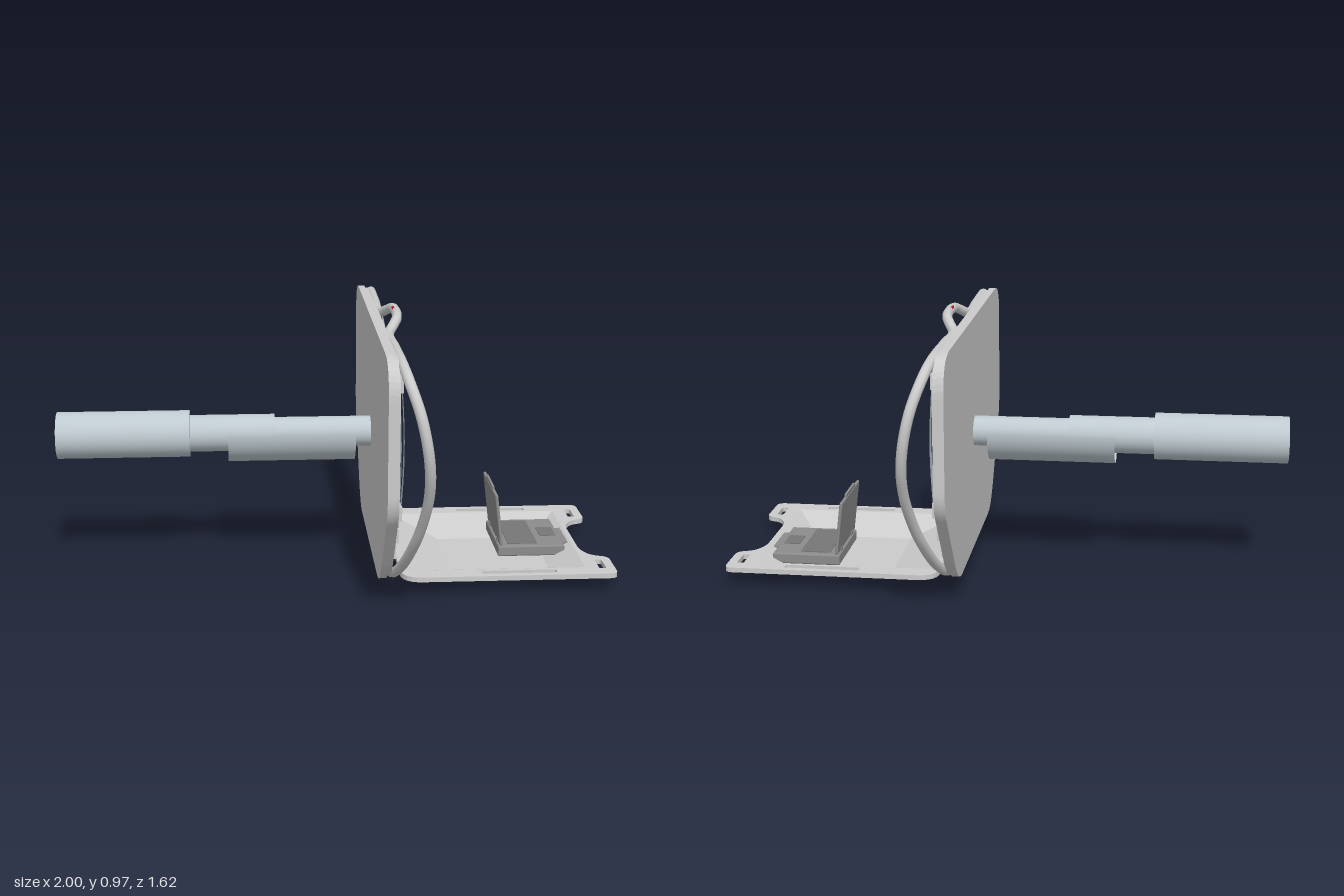
import * as THREE from 'three';
import { mergeGeometries } from 'three/addons/utils/BufferGeometryUtils.js';
import { RoundedBoxGeometry } from 'three/addons/geometries/RoundedBoxGeometry.js';

const mat = (color = 0xcccccc, side = THREE.FrontSide) => new THREE.MeshStandardMaterial({ color, side });
const grey = mat();
const greyThin = mat(0xcccccc, THREE.DoubleSide);
const steel = mat(0xbfcad0);
const strapMat = mat(0xb9c4ca, THREE.DoubleSide);
const black = mat(0x222222);

function add(parent, name, geometry, material = grey, x = 0, y = 0, z = 0) {
  const mesh = new THREE.Mesh(geometry, material);
  mesh.name = name;
  mesh.position.set(x, y, z);
  parent.add(mesh);
  return mesh;
}
const box = (w, h, d) => new THREE.BoxGeometry(w, h, d);

// Strip of quads between pairs of points
function ribbon(pairs) {
  const pos = [], idx = [];
  pairs.forEach(([a, b], i) => {
    pos.push(...a, ...b);
    const n = 2 * i;
    if (i) idx.push(n - 2, n, n - 1, n - 1, n, n + 1);
  });
  const g = new THREE.BufferGeometry();
  g.setAttribute('position', new THREE.Float32BufferAttribute(pos, 3));
  g.setIndex(idx);
  g.computeVertexNormals();
  return g;
}

// Polygon with rounded corners; points are [x, y, radius]
function roundedShape(points, Type = THREE.Shape) {
  const s = new Type();
  points.forEach(([x, y, r = 0], i) => {
    const p = new THREE.Vector2(x, y);
    const toward = (q) => new THREE.Vector2(q[0], q[1]).sub(p).setLength(r).add(p);
    const a = toward(points.at(i - 1)), b = toward(points[(i + 1) % points.length]);
    if (i) s.lineTo(a.x, a.y); else s.moveTo(a.x, a.y);
    s.quadraticCurveTo(x, y, b.x, b.y);
  });
  s.closePath();
  return s;
}
const rect = (x0, x1, y0, y1, r) =>
  roundedShape([[x0, y0, r], [x1, y0, r], [x1, y1, r], [x0, y1, r]], THREE.Path);
const mirrored = (half) => [...half, ...half.map(([x, y, r]) => [-x, y, r]).reverse()];

function makePost() {
  const g = new THREE.Group();
  g.name = 'post';
  const tube = (name, x0, x1, r) =>
    add(g, name, new THREE.CylinderGeometry(r, r, x1 - x0, 40).rotateZ(Math.PI / 2), steel, (x0 + x1) / 2, 0.505);
  tube('outerTube', -1, -0.52, 0.085);
  tube('middleTube', -0.52, -0.21, 0.067);
  tube('innerTube', -0.21, 0.142, 0.055);
  // Half-round cradle open at the top
  add(g, 'cradle', new THREE.CylinderGeometry(0.125, 0.125, 0.46, 32, 1, true, Math.PI, Math.PI).rotateZ(Math.PI / 2),
    mat(0xbfcad0, THREE.DoubleSide), -0.15, 0.527);
  return g;
}

function makePanel() {
  const g = new THREE.Group();
  g.name = 'panel';
  const plate = (name, k, x, depth) => {
    const half = [[0.4, 0.07, 0.06], [0.48, 0.13, 0.05], [0.71, 0.42, 0.06], [0.71, 0.93, 0.13]]
      .map(([z, y, r]) => [z * k, 0.5 + (y - 0.5) * k, r]);
    const geo = new THREE.ExtrudeGeometry(roundedShape(mirrored(half)), { depth, bevelEnabled: false, curveSegments: 10 });
    add(g, name, geo.rotateY(Math.PI / 2), grey, x);
  };
  plate('backPlate', 1, 0.14, 0.025);
  plate('frontPlate', 0.985, 0.165, 0.015);

  // Rim bowing forward at both sides, with a carrying handle on top
  const half = [[0.225, 0.945, 0.09], [0.21, 0.93, 0.13], [0.19, 0.91, 0.175], [0.188, 0.91, 0.4], [0.192, 0.905, 0.62],
    [0.205, 0.87, 0.72], [0.235, 0.78, 0.78], [0.257, 0.68, 0.793], [0.27, 0.58, 0.775], [0.272, 0.48, 0.73],
    [0.26, 0.37, 0.665], [0.24, 0.27, 0.595], [0.21, 0.15, 0.475], [0.188, 0.09, 0.37], [0.18, 0.075, 0.2]];
  const all = [...half, ...half.map(([x, y, z]) => [x, y, -z]).reverse()].map((p) => new THREE.Vector3(...p));
  const curve = new THREE.CatmullRomCurve3(all, true, 'centripetal');
  add(g, 'rim', new THREE.TubeGeometry(curve, 240, 0.018, 10, true));
  add(g, 'handleMark', box(0.012, 0.01, 0.035), mat(0xcc1133), 0.222, 0.961);

  for (const s of [1, -1]) {
    // Dark padding along the inside of the rim
    const pad = half.slice(5, 11).map(([x, y, z]) => new THREE.Vector3(x, y, s * (z - 0.014)));
    add(g, 'rimPadding', new THREE.TubeGeometry(new THREE.CatmullRomCurve3(pad), 40, 0.012, 8), black);
    // Three straps with buckles, shorter toward the edge
    [[0.605, 0.37], [0.515, 0.26], [0.425, 0.17]].forEach(([z, y0]) => {
      const y1 = 0.86, rows = [];
      for (let i = 0; i <= 16; i++) {
        const t = i / 16, x = 0.19 + 0.012 * Math.sin(Math.PI * t), y = y0 + (y1 - y0) * t;
        rows.push([[x, y, s * z - 0.02], [x, y, s * z + 0.02]]);
      }
      add(g, 'strap', ribbon(rows), strapMat);
      for (const y of [y0 + 0.025, y1 - 0.025]) {
        for (const e of [-1, 1]) {
          add(g, 'buckleSide', box(0.016, 0.05, 0.007), grey, 0.188, y, s * z + e * 0.023);
          add(g, 'buckleBar', box(0.016, 0.007, 0.05), grey, 0.188, y + e * 0.022, s * z);
        }
      }
    });
  }
  return g;
}

// Diagonal bands passing over and under each other
function makeLattice() {
  const g = new THREE.Group();
  g.name = 'lattice';
  const p = 0.068, w = 0.28, y0 = 0.09, y1 = 0.895, hw = 0.02;
  for (const [s, color] of [[1, 0x6d9dbd], [-1, 0x6a9c8c]]) {
    const bands = [];
    for (let i = -4; i <= 18; i++) {
      const c = i * p;
      const ends = [(y0 - hw - c) / s, (y1 + hw - c) / s].sort((a, b) => a - b);
      const z0 = Math.max(-w, ends[0]), z1 = Math.min(w, ends[1]);
      if (z1 - z0 < 0.01) continue;
      const stops = [z0];
      for (let k = -10; k <= 10; k++) if (k * p / 2 > z0 && k * p / 2 < z1) stops.push(k * p / 2);
      stops.push(z1);
      bands.push(ribbon(stops.map((z) => {
        const x = 0.187 + 0.004 * s * Math.cos(z / (p / 2) * Math.PI);
        return [-hw, hw].map((d) => [x, THREE.MathUtils.clamp(c + s * z + d, y0, y1), z]);
      })));
    }
    add(g, s > 0 ? 'risingBands' : 'fallingBands', mergeGeometries(bands), mat(color, THREE.DoubleSide));
  }
  return g;
}

function makeTray() {
  const g = new THREE.Group();
  g.name = 'tray';
  // Flat border with two tabs at the free end
  const half = [[0.225, 0.378, 0.08], [1, 0.378, 0.03], [1, 0.21, 0.025], [0.94, 0.19, 0.03], [0.91, 0.13, 0.03]];
  const outline = roundedShape([...half, ...half.map(([x, z, r]) => [x, -z, r]).reverse()]);
  outline.holes.push(rect(0.25, 0.895, -0.31, 0.31, 0));
  for (const s of [-1, 1]) {
    outline.holes.push(rect(0.515, 0.785, s * 0.34 - 0.014, s * 0.34 + 0.014, 0.01));
    outline.holes.push(rect(0.943, 0.968, s * 0.28 - 0.045, s * 0.28 + 0.045, 0.01));
  }
  add(g, 'trayBorder', new THREE.ExtrudeGeometry(outline, { depth: 0.018, bevelEnabled: false, curveSegments: 6 })
    .rotateX(Math.PI / 2), grey, 0, 0.07);
  // Sunken middle: an inner and an outer skin
  const dish = (yTop, yLow) => {
    const loop = (a, b, z, y) => [[a, y, -z], [b, y, -z], [b, y, z], [a, y, z]];
    const top = loop(0.25, 0.895, 0.31, yTop), low = loop(0.42, 0.79, 0.165, yLow);
    const parts = top.map((t, i) => ribbon([[t, top[(i + 1) % 4]], [low[i], low[(i + 1) % 4]]]));
    parts.push(ribbon([[low[0], low[1]], [low[3], low[2]]]));
    return mergeGeometries(parts);
  };
  add(g, 'dishInside', dish(0.07, 0.014), greyThin);
  add(g, 'dishOutside', dish(0.052, 0), greyThin);
  // Hinge to the panel
  add(g, 'hingePin', new THREE.CylinderGeometry(0.015, 0.015, 0.24, 16).rotateX(Math.PI / 2), grey, 0.205, 0.068);
  for (const z of [-0.09, 0.09]) {
    add(g, 'hingeKnuckle', new THREE.CylinderGeometry(0.021, 0.021, 0.04, 16).rotateX(Math.PI / 2), grey, 0.2, 0.068, z);
  }
  return g;
}

function makeComputer() {
  const g = new THREE.Group();
  g.name = 'foldingComputer';
  g.position.set(0, 0, -0.063);
  const dark = mat(0x8c8c8c);
  add(g, 'base', new RoundedBoxGeometry(0.25, 0.04, 0.3, 2, 0.006), dark, 0.74, 0.052);
  add(g, 'keyboard', box(0.11, 0.004, 0.25), mat(0x777777), 0.71, 0.073);
  add(g, 'touchPad', box(0.06, 0.004, 0.09), mat(0x777777), 0.82, 0.073);
  add(g, 'frontLatch', box(0.025, 0.015, 0.16), dark, 0.876, 0.058, 0.02);
  // Lid leaning slightly back from its hinge
  const lid = new THREE.Group();
  lid.name = 'lid';
  lid.position.set(0.628, 0.07, 0);
  lid.rotation.z = 0.12;
  g.add(lid);
  add(lid, 'lidShell', new RoundedBoxGeometry(0.012, 0.2, 0.295, 2, 0.005), dark, 0, 0.103);
  add(lid, 'screen', box(0.003, 0.17, 0.26), mat(0xaaaaaa), 0.006, 0.105);
  add(lid, 'lidCatch', box(0.008, 0.014, 0.14), dark, 0, 0.208);
  for (const z of [-0.09, 0.09]) add(lid, 'lidHinge', box(0.018, 0.02, 0.03), dark, 0, 0.006, z);
  return g;
}

export function createModel() {
  const model = new THREE.Group();
  model.name = 'foldingWorkstation';
  model.add(makePost(), makePanel(), makeLattice(), makeTray(), makeComputer());
  return model;
}
